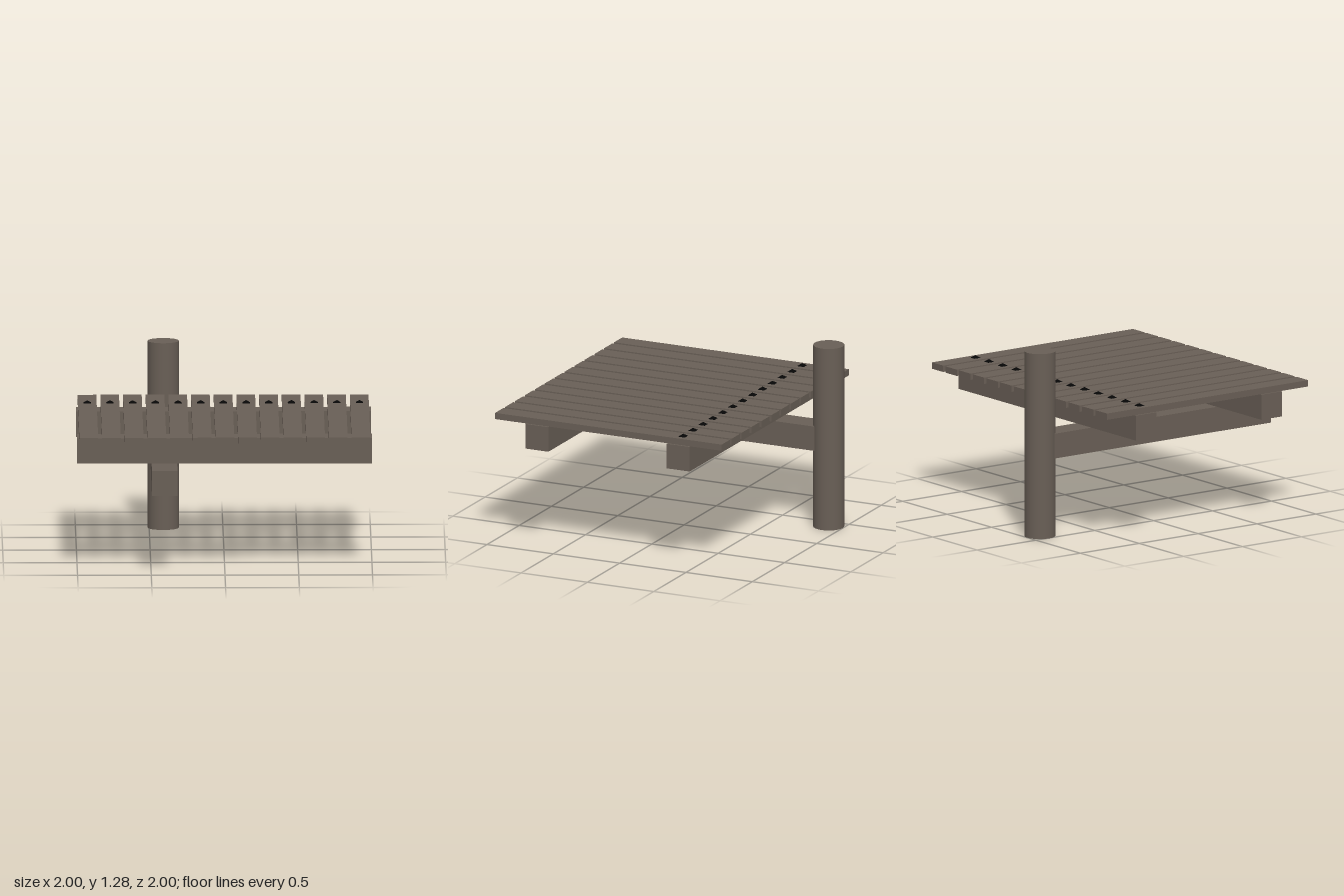
import * as THREE from 'three';

export function createModel() {
  const model = new THREE.Group();
  model.name = 'plankPlatform';

  const wood = new THREE.MeshStandardMaterial({ color: 0x695f56 });
  wood.name = 'weathered wood';
  const iron = new THREE.MeshStandardMaterial({ color: 0x060606 });
  iron.name = 'black iron';

  const add = (name, geometry, material, x, y, z) => {
    const mesh = new THREE.Mesh(geometry, material);
    mesh.name = name;
    mesh.position.set(x, y, z);
    model.add(mesh);
    return mesh;
  };

  // Round post at the back
  add('post', new THREE.CylinderGeometry(0.106, 0.106, 1.285, 24), wood, -0.404, 0.6425, -0.894);

  // Bearer running forward from the post
  add('bearer', new THREE.BoxGeometry(0.173, 0.172, 1.88), wood, -0.409, 0.631, 0.06);

  // Two joists across the bearer
  for (const [name, z] of [['frontJoist', 0.624], ['backJoist', -0.441]]) {
    add(name, new THREE.BoxGeometry(2, 0.174, 0.174), wood, 0, 0.805, z);
  }

  // Deck planks, each with one four-sided nail head
  const plank = new THREE.BoxGeometry(0.127, 0.044, 1.708);
  const nail = new THREE.ConeGeometry(0.0375, 0.019, 4).toNonIndexed();
  nail.rotateY(Math.PI / 4);
  nail.computeVertexNormals();
  const count = 13, spacing = 0.1538;
  for (let i = 0; i < count; i++) {
    const x = (i - (count - 1) / 2) * spacing;
    add('plank', plank, wood, x, 0.914, 0.091);
    add('nail', nail, iron, x, 0.9445, -0.441);
  }

  return model;
}
